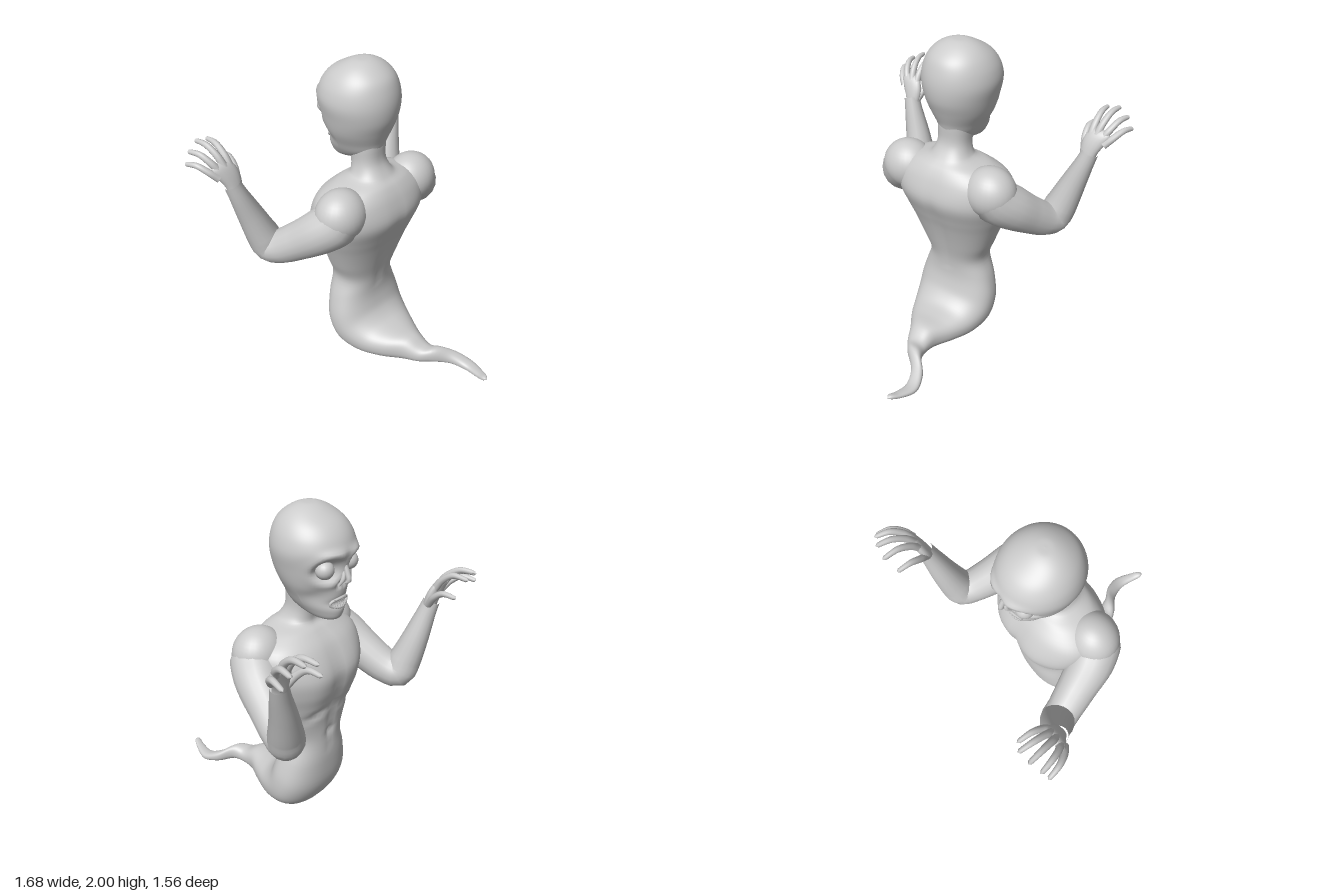
import * as THREE from 'three';

const V = (x, y, z) => new THREE.Vector3(x, y, z);
const material = new THREE.MeshStandardMaterial({ color: 0xcccccc });
const bump = (d, s) => Math.exp(-((d / s) ** 2));

function part(group, name, geometry) {
  const mesh = new THREE.Mesh(geometry, material);
  mesh.name = name;
  group.add(mesh);
  return mesh;
}

// Skin over sections [x, halfWidth, backY, backZ, frontY, frontZ]; power > 2 squares them off.
function loft(rows, steps, sides, power, sculpt) {
  const back = new THREE.CatmullRomCurve3(rows.map(r => V(r[0], r[2], r[3])));
  const front = new THREE.CatmullRomCurve3(rows.map(r => V(r[1], r[4], r[5])));
  const soft = v => Math.sign(v) * Math.abs(v) ** (2 / power);
  const pos = [], index = [];
  for (let i = 0; i <= steps; i++) {
    const b = back.getPoint(i / steps), f = front.getPoint(i / steps);
    for (let j = 0; j < sides; j++) {
      const a = (j / sides) * Math.PI * 2, c = soft(Math.cos(a)), s = soft(Math.sin(a));
      const p = V(b.x + f.x * c, (b.y + f.y + (b.y - f.y) * s) / 2, (b.z + f.z + (b.z - f.z) * s) / 2);
      if (sculpt) sculpt(p, s);
      pos.push(p.x, p.y, p.z);
      if (i < steps) {
        const k = i * sides, n = (j + 1) % sides;
        index.push(k + j, k + sides + j, k + n, k + sides + j, k + sides + n, k + n);
      }
    }
  }
  const g = new THREE.BufferGeometry();
  g.setAttribute('position', new THREE.Float32BufferAttribute(pos, 3));
  g.setIndex(index);
  g.computeVertexNormals();
  return g;
}

// Tube whose radius follows the given list, one radius per path point.
function taper(points, radii, steps, sides) {
  const curve = new THREE.CatmullRomCurve3(points.map(p => V(...p)));
  const g = new THREE.TubeGeometry(curve, steps, 1, sides);
  const pos = g.attributes.position, v = V(0, 0, 0);
  for (let i = 0; i < pos.count; i++) {
    const u = Math.floor(i / (sides + 1)) / steps;
    const t = curve.getUtoTmapping(u) * (radii.length - 1);
    const k = Math.min(Math.floor(t), radii.length - 2);
    const r = THREE.MathUtils.lerp(radii[k], radii[k + 1], t - k);
    const c = curve.getPointAt(u);
    v.fromBufferAttribute(pos, i).sub(c).multiplyScalar(r).add(c);
    pos.setXYZ(i, v.x, v.y, v.z);
  }
  return g;
}

// Tail tip, hips, waist, chest and neck in one skin
const bodyRows = [
  [0.14, 0, 0.09, 0.775, 0.09, 0.775],
  [0.145, 0.02, 0.102, 0.755, 0.072, 0.75],
  [0.165, 0.03, 0.09, 0.7, 0.05, 0.69],
  [0.185, 0.04, 0.085, 0.6, 0.035, 0.6],
  [0.15, 0.045, 0.125, 0.5, 0.05, 0.5],
  [0.07, 0.055, 0.175, 0.42, 0.07, 0.42],
  [0.03, 0.07, 0.168, 0.35, 0.06, 0.35],
  [0.01, 0.1, 0.215, 0.26, 0.04, 0.25],
  [0, 0.17, 0.225, 0.15, 0.02, 0.12],
  [0, 0.23, 0.25, 0.06, 0.005, -0.05],
  [0, 0.265, 0.31, 0, 0.05, -0.22],
  [0, 0.268, 0.38, -0.025, 0.2, -0.315],
  [0, 0.235, 0.46, -0.035, 0.4, -0.338],
  [0, 0.195, 0.57, -0.025, 0.57, -0.335],
  [0, 0.24, 0.7, 0.01, 0.7, -0.34],
  [0, 0.295, 0.85, 0.06, 0.85, -0.365],
  [0, 0.335, 0.95, 0.1, 0.95, -0.39],
  [0, 0.37, 1.08, 0.145, 1.06, -0.395],
  [0, 0.36, 1.2, 0.12, 1.2, -0.33],
  [0, 0.25, 1.275, 0.08, 1.28, -0.25],
  [0, 0.13, 1.32, 0.035, 1.32, -0.2],
  [0, 0.1, 1.4, -0.01, 1.37, -0.2],
  [0, 0.1, 1.52, -0.01, 1.46, -0.22],
];

function sculptBody(p, s) {
  if (p.y < 0.5) return;
  const ax = Math.abs(p.x), chest = bump(p.y - 1, 0.22);
  if (s < -0.2) {
    p.z += 0.014 * bump(ax, 0.025) * bump(p.y - 0.9, 0.35);                   // breastbone line
    p.z -= 0.012 * bump(ax - 0.15, 0.09) * chest;                             // pectorals
    p.z += 0.02 * bump(p.y - 0.83 + ax * 0.3, 0.025) * bump(ax - 0.12, 0.09); // rib crease
    p.z += 0.02 * bump(Math.hypot(p.x, p.y - 0.62), 0.025);                   // navel
  } else if (s > 0.2) {
    p.z -= 0.012 * bump(ax, 0.03) * bump(p.y - 0.85, 0.3);                    // spine groove
  }
}

// Jaw to crown
const headRows = [
  [0, 0, 1.375, -0.27, 1.375, -0.27],
  [0, 0.075, 1.4, -0.15, 1.385, -0.365],
  [0, 0.115, 1.46, -0.03, 1.43, -0.385],
  [0, 0.15, 1.53, 0, 1.5, -0.385],
  [0, 0.185, 1.6, 0.03, 1.58, -0.39],
  [0, 0.21, 1.68, 0.06, 1.68, -0.4],
  [0, 0.228, 1.77, 0.07, 1.78, -0.415],
  [0, 0.215, 1.85, 0.058, 1.85, -0.395],
  [0, 0.18, 1.915, 0.03, 1.915, -0.345],
  [0, 0.12, 1.968, -0.03, 1.97, -0.255],
  [0, 0.055, 1.996, -0.09, 1.996, -0.19],
  [0, 0, 2, -0.14, 2, -0.14],
];

function sculptHead(p, s) {
  if (s > -0.15) return;
  const ax = Math.abs(p.x), eye = Math.hypot(ax - 0.098, p.y - 1.695);
  p.z += 0.055 * bump(eye, 0.058) - 0.014 * bump(eye - 0.085, 0.022);   // sockets and rims
  p.z -= 0.015 * bump(p.y - 1.785, 0.025) * bump(ax - 0.07, 0.08);      // brow
  p.z += 0.025 * bump(Math.hypot(ax - 0.135, p.y - 1.53), 0.05);        // hollow cheeks
  p.z += 0.022 * bump(ax, 0.065) * bump(p.y - 1.49, 0.022);             // mouth opening
  p.z += 0.03 * bump(Math.hypot(ax - 0.02, p.y - 1.605), 0.018);        // nostrils
}

function makeHead() {
  const head = new THREE.Group();
  head.name = 'head';
  part(head, 'skull', loft(headRows, 64, 72, 2, sculptHead));
  for (const s of [-1, 1]) {
    part(head, 'eyeball', new THREE.SphereGeometry(0.052, 20, 14)).position.set(s * 0.1, 1.695, -0.345);
    part(head, 'nostrilWing', taper([[s * 0.006, 1.69, -0.395], [s * 0.022, 1.64, -0.41], [s * 0.034, 1.6, -0.392]],
      [0.008, 0.014, 0.006], 8, 8));
  }
  part(head, 'noseBridge', taper([[0, 1.73, -0.39], [0, 1.67, -0.418], [0, 1.63, -0.43], [0, 1.605, -0.405]],
    [0.012, 0.016, 0.014, 0.002], 12, 10));

  // Lips around two rows of teeth
  const lips = [];
  for (let i = 0; i < 12; i++) {
    const a = (i / 12) * Math.PI * 2, x = 0.068 * Math.cos(a);
    lips.push(V(x, 1.49 + 0.027 * Math.sin(a), -0.385 + x * x * 5));
  }
  part(head, 'lips', new THREE.TubeGeometry(new THREE.CatmullRomCurve3(lips, true), 40, 0.009, 6, true));
  for (const row of [-1, 1]) {
    for (let i = -3; i <= 3; i++) {
      const x = i * 0.0155;
      const tooth = part(head, 'tooth', new THREE.ConeGeometry(0.009, 0.026, 6));
      tooth.position.set(x, 1.49 + row * 0.012, -0.386 + x * x * 5);
      if (row > 0) tooth.rotation.x = Math.PI;
    }
  }
  return head;
}

// Arm for side s: shoulder, bent elbow, raised forearm and clawed hand
function makeArm(s) {
  const arm = new THREE.Group();
  arm.name = s > 0 ? 'leftArm' : 'rightArm';
  const side = pts => pts.map(([x, y, z]) => [s * x, y, z]);
  const shoulder = part(arm, 'shoulder', new THREE.SphereGeometry(1, 28, 20));
  shoulder.scale.set(0.16, 0.155, 0.145);
  shoulder.position.set(s * 0.295, 1.17, -0.04);

  part(arm, 'limb', taper(side([
    [0.28, 1.2, 0], [0.33, 1.13, -0.04], [0.385, 1.06, -0.12], [0.435, 0.96, -0.25], [0.485, 0.875, -0.385],
    [0.51, 0.868, -0.45], [0.54, 0.95, -0.475], [0.585, 1.09, -0.505], [0.635, 1.24, -0.53], [0.66, 1.32, -0.545],
  ]), [0.09, 0.14, 0.135, 0.118, 0.105, 0.105, 0.1, 0.08, 0.058, 0.05], 48, 18));

  const w = s * 0.65;
  part(arm, 'palm', loft([
    [w, 0.04, 1.26, -0.5, 1.26, -0.57],
    [w, 0.052, 1.32, -0.51, 1.31, -0.58],
    [s * 0.665, 0.068, 1.39, -0.53, 1.365, -0.59],
    [s * 0.685, 0.07, 1.44, -0.555, 1.415, -0.6],
    [s * 0.69, 0.055, 1.46, -0.58, 1.44, -0.605],
    [s * 0.69, 0, 1.46, -0.6, 1.46, -0.6],
  ], 16, 18, 2.2));

  const fingers = {
    thumb: [[0.62, 1.31, -0.55], [0.592, 1.38, -0.6], [0.582, 1.425, -0.66], [0.58, 1.425, -0.75]],
    indexFinger: [[0.64, 1.41, -0.57], [0.642, 1.475, -0.61], [0.643, 1.525, -0.68], [0.64, 1.525, -0.78]],
    middleFinger: [[0.675, 1.42, -0.57], [0.69, 1.49, -0.61], [0.706, 1.54, -0.68], [0.72, 1.545, -0.77]],
    ringFinger: [[0.71, 1.41, -0.57], [0.74, 1.465, -0.6], [0.768, 1.51, -0.66], [0.79, 1.51, -0.745]],
    littleFinger: [[0.73, 1.38, -0.56], [0.77, 1.425, -0.59], [0.805, 1.46, -0.645], [0.828, 1.45, -0.73]],
  };
  for (const [name, path] of Object.entries(fingers)) {
    const [a, b, c, d] = side(path);
    const nearTip = d.map((v, i) => v + (c[i] - v) * 0.12);
    part(arm, name, taper([a, b, c, nearTip, d], [0.024, 0.021, 0.018, 0.013, 0.001], 20, 10));
  }
  return arm;
}

export function createModel() {
  const model = new THREE.Group();
  model.name = 'ghostFigure';
  part(model, 'bodyAndTail', loft(bodyRows, 110, 56, 2.3, sculptBody));
  model.add(makeHead(), makeArm(1), makeArm(-1));
  return model;
}
